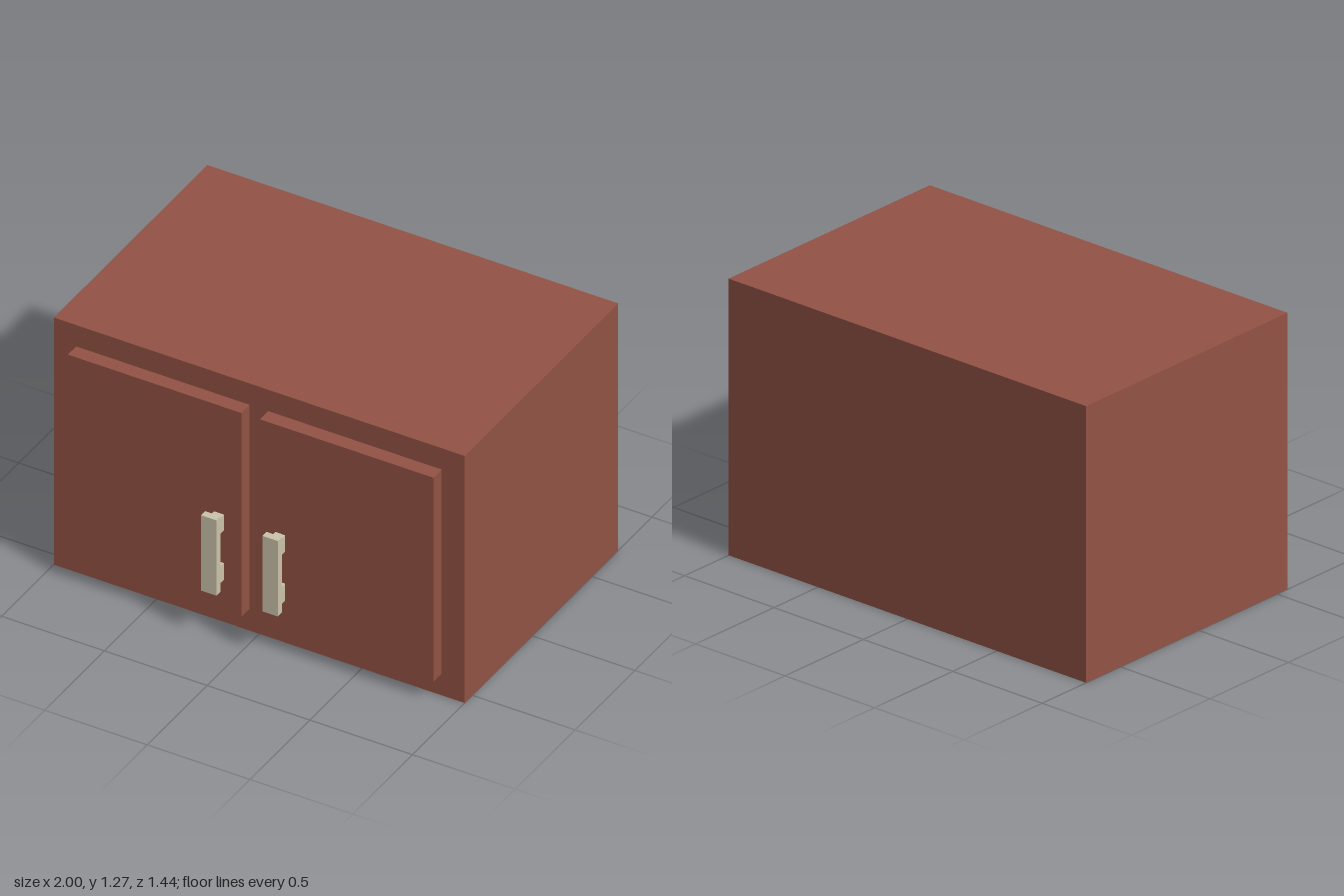
import * as THREE from 'three';

export function createModel() {
  const cabinet = new THREE.Group();
  cabinet.name = 'cabinet';

  const wood = new THREE.MeshStandardMaterial({ color: 0x935345 });
  wood.name = 'reddish brown wood';
  const metal = new THREE.MeshStandardMaterial({ color: 0xccc4aa });
  metal.name = 'pale handle';

  // Box given by its lower and upper limits on each axis
  function addBox(parent, name, material, [x0, x1], [y0, y1], [z0, z1]) {
    const mesh = new THREE.Mesh(new THREE.BoxGeometry(x1 - x0, y1 - y0, z1 - z0), material);
    mesh.position.set((x0 + x1) / 2, (y0 + y1) / 2, (z0 + z1) / 2);
    mesh.name = name;
    parent.add(mesh);
  }

  // Carcass
  addBox(cabinet, 'body', wood, [-1, 1], [0, 1.274], [-0.719, 0.565]);

  // Doors, each with a bar handle on two posts
  const sides = [
    { name: 'right', door: [-0.891, -0.047], handleX: -0.156 },
    { name: 'left', door: [0.044, 0.888], handleX: 0.143 },
  ];
  for (const { name, door, handleX } of sides) {
    addBox(cabinet, `${name}Door`, wood, door, [0.112, 1.164], [0.565, 0.634]);

    const handle = new THREE.Group();
    handle.name = `${name}Handle`;
    addBox(handle, 'handleBar', metal, [handleX - 0.038, handleX + 0.038], [0.248, 0.637], [0.685, 0.719]);
    for (const [post, y] of [['lowerPost', [0.274, 0.36]], ['upperPost', [0.527, 0.61]]]) {
      addBox(handle, post, metal, [handleX - 0.024, handleX + 0.024], y, [0.634, 0.685]);
    }
    cabinet.add(handle);
  }

  return cabinet;
}
